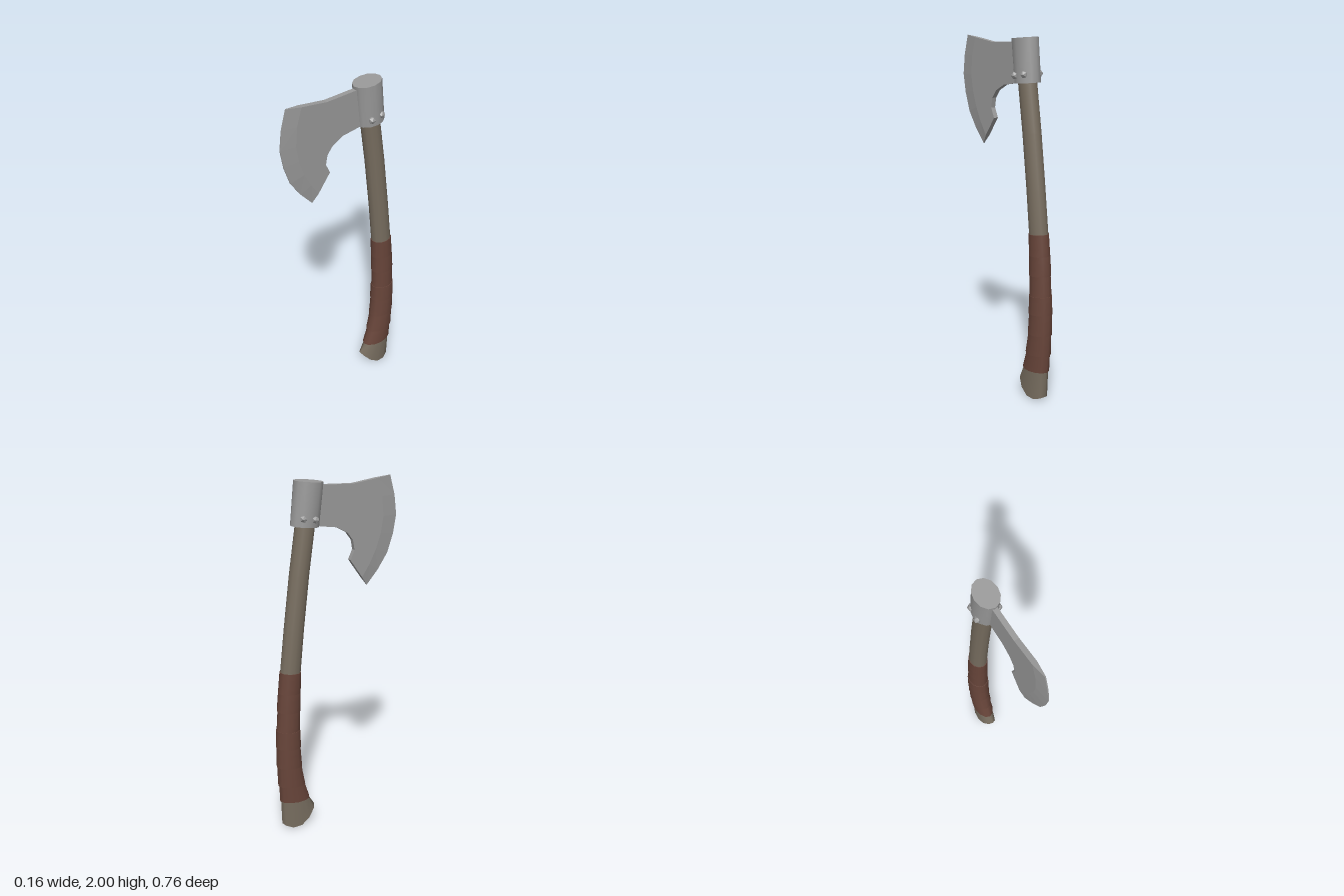
import * as THREE from 'three';

const SIDES = 12;

// Lofts oval rings from bottom to top. Ring: [yFront, yBack, zFront, zBack, halfWidth, sag]
function loft(rings) {
  const pos = [], idx = [];
  const { lerp } = THREE.MathUtils;
  const addRing = ([yf, yb, zf, zb, hx, sag = 0]) => {
    const start = pos.length / 3;
    for (let i = 0; i < SIDES; i++) {
      const a = (i / SIDES) * Math.PI * 2, t = (1 - Math.cos(a)) / 2;
      pos.push(hx * Math.sin(a), lerp(yf, yb, t) - sag * Math.sin(a) ** 2, lerp(zf, zb, t));
    }
    return start;
  };
  const starts = rings.map(addRing);
  for (let j = 0; j < starts.length - 1; j++) {
    for (let i = 0; i < SIDES; i++) {
      const k = (i + 1) % SIDES, p = starts[j], q = starts[j + 1];
      idx.push(p + i, p + k, q + k, p + i, q + k, q + i);
    }
  }
  // End caps have their own corners so the rims stay sharp
  for (const [ring, up] of [[rings[0], false], [rings[rings.length - 1], true]]) {
    const s = addRing(ring), c = pos.length / 3;
    pos.push(0, (ring[0] + ring[1]) / 2 - (ring[5] || 0), (ring[2] + ring[3]) / 2);
    for (let i = 0; i < SIDES; i++) {
      const k = (i + 1) % SIDES;
      if (up) idx.push(c, s + i, s + k);
      else idx.push(c, s + k, s + i);
    }
  }
  const g = new THREE.BufferGeometry();
  g.setAttribute('position', new THREE.Float32BufferAttribute(pos, 3));
  g.setIndex(idx);
  g.computeVertexNormals();
  return g;
}

// Handle profile: [y, zFront, zBack]
const PROFILE = [
  [0.16, -0.182, -0.356], [0.26, -0.212, -0.362], [0.37, -0.232, -0.366],
  [0.48, -0.239, -0.367], [0.6, -0.241, -0.365], [0.78, -0.234, -0.356],
  [0.95, -0.224, -0.342], [1.2, -0.2, -0.314], [1.5, -0.165, -0.277],
  [1.75, -0.13, -0.24], [1.82, -0.12, -0.23],
];

function profileAt(y) {
  let i = 0;
  while (i < PROFILE.length - 2 && PROFILE[i + 1][0] < y) i++;
  const a = PROFILE[i], b = PROFILE[i + 1], t = (y - a[0]) / (b[0] - a[0]);
  return [a[1] + (b[1] - a[1]) * t, a[2] + (b[2] - a[2]) * t];
}

// Blade outlines as [z, y]: cutting edge, start of the bevel, and the remaining body
const EDGE = [[0.335, 1.99], [0.365, 1.88], [0.378, 1.77], [0.36, 1.665], [0.325, 1.56], [0.265, 1.47], [0.195, 1.39]];
const BEVEL = [[0.25, 1.98], [0.28, 1.88], [0.29, 1.77], [0.275, 1.68], [0.245, 1.59], [0.205, 1.51], [0.16, 1.44]];
const BODY = [[0.085, 1.545], [0.11, 1.6], [0.1, 1.655], [0.065, 1.7], [0, 1.735], [-0.1, 1.75],
  [-0.14, 1.76], [-0.13, 1.97], [-0.02, 1.965], [0.1, 1.96]];

function bevelGeometry(thick, thin) {
  const pos = [];
  const quad = (a, b, c, d) => pos.push(...a, ...b, ...c, ...a, ...c, ...d);
  const at = ([z, y], x) => [x, y, z];
  const last = EDGE.length - 1;
  for (let i = 0; i < last; i++) {
    const [a, b, c, d] = [BEVEL[i], EDGE[i], EDGE[i + 1], BEVEL[i + 1]];
    quad(at(a, thick), at(d, thick), at(c, thin), at(b, thin));
    quad(at(a, -thick), at(b, -thin), at(c, -thin), at(d, -thick));
    quad(at(b, thin), at(c, thin), at(c, -thin), at(b, -thin));
  }
  quad(at(BEVEL[0], -thick), at(BEVEL[0], thick), at(EDGE[0], thin), at(EDGE[0], -thin));
  quad(at(BEVEL[last], thick), at(BEVEL[last], -thick), at(EDGE[last], -thin), at(EDGE[last], thin));
  const g = new THREE.BufferGeometry();
  g.setAttribute('position', new THREE.Float32BufferAttribute(pos, 3));
  g.computeVertexNormals();
  return g;
}

export function createModel() {
  const model = new THREE.Group();
  model.name = 'axe';
  const material = (name, color) => {
    const m = new THREE.MeshStandardMaterial({ color, side: THREE.DoubleSide });
    m.name = name;
    return m;
  };
  const steel = material('steel', 0x999999);
  const wood = material('wood', 0x786e60);
  const leather = material('leather', 0x68453a);
  const add = (name, geometry, mat) => {
    const mesh = new THREE.Mesh(geometry, mat);
    mesh.name = name;
    model.add(mesh);
    return mesh;
  };

  // Curved handle with a flared, slanted butt
  add('handle', loft([
    [0.1, 0.02, -0.145, -0.352, 0.05, 0.055],
    ...PROFILE.map(([y, zf, zb]) => [y, y, zf, zb, 0.05]),
  ]), wood);

  // Overlapping grip wraps, thicker low down
  const seams = [0.16, 0.26, 0.38, 0.5, 0.605, 0.72, 0.83, 0.95];
  const swell = [0.006, 0.009, 0.01, 0.011, 0.006, 0.007, 0.005];
  swell.forEach((s, i) => {
    const rings = [];
    for (let j = 0; j <= 3; j++) {
      const y = seams[i] + (seams[i + 1] - seams[i]) * j / 3;
      const [zf, zb] = profileAt(y), d = s - j * 0.0007;
      rings.push([y, y + 0.008, zf + d, zb - d, 0.05 + d]);
    }
    add('gripWrap' + (i + 1), loft(rings), leather);
  });

  // Socket around the top of the handle
  add('socket', loft([
    [1.75, 1.765, -0.105, -0.265, 0.065],
    [1.985, 2, -0.077, -0.243, 0.065],
  ]), steel);

  // Rivets, two on each cheek
  for (const side of [1, -1]) {
    for (const [x, y, z] of [[0.061, 1.797, -0.15], [0.053, 1.806, -0.216]]) {
      const rivet = add(side > 0 ? 'leftRivet' : 'rightRivet', new THREE.IcosahedronGeometry(0.021, 0), steel);
      rivet.position.set(side * x, y, z);
    }
  }

  // Bearded blade: flat body, then the bevel running to the cutting edge
  const shape = new THREE.Shape([...BEVEL, ...BODY].map(([z, y]) => new THREE.Vector2(-z, y)));
  const body = new THREE.ExtrudeGeometry(shape, { depth: 0.028, bevelEnabled: false });
  body.translate(0, 0, -0.014).rotateY(Math.PI / 2);
  add('bladeBody', body, steel);
  add('bladeEdge', bevelGeometry(0.014, 0.003), steel);

  return model;
}
